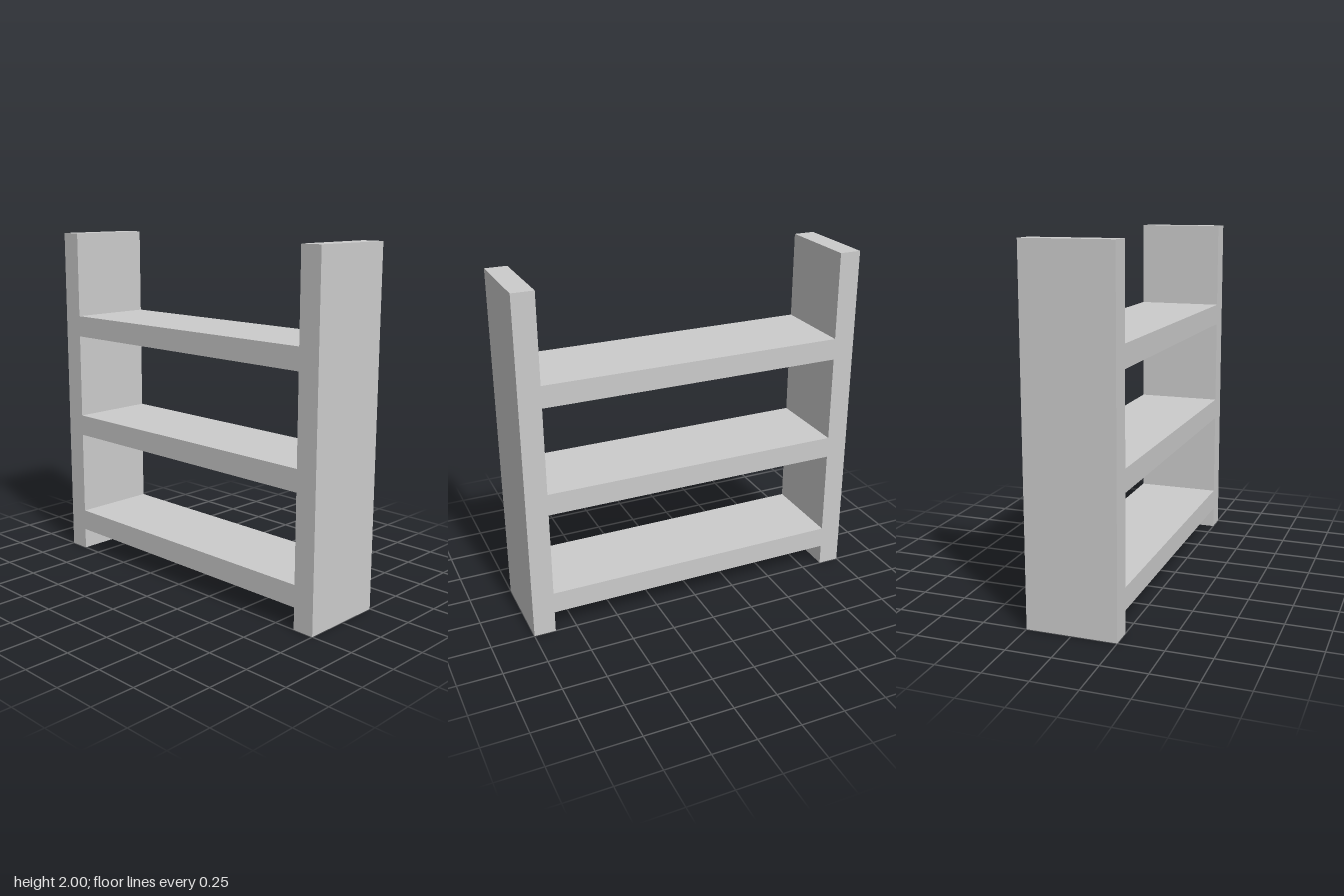
import * as THREE from 'three';

const THICKNESS = 0.125;
const DEPTH = 0.5;
const HEIGHT = 2;
const WIDTH = 2;

export function createModel() {
  const group = new THREE.Group();
  group.name = 'shelfUnit';
  const material = new THREE.MeshStandardMaterial({ color: 0xcccccc });

  const addBoard = (name, width, height, x, y) => {
    const board = new THREE.Mesh(new THREE.BoxGeometry(width, height, DEPTH), material);
    board.name = name;
    board.position.set(x, y, 0);
    group.add(board);
  };

  // Upright side panels
  for (const [name, side] of [['leftPanel', 1], ['rightPanel', -1]]) {
    addBoard(name, THICKNESS, HEIGHT, side * (WIDTH - THICKNESS) / 2, HEIGHT / 2);
  }

  // Shelves fitted between the panels, placed by their undersides
  const shelves = [['bottomShelf', 0.125], ['middleShelf', 0.75], ['topShelf', 1.375]];
  for (const [name, underside] of shelves) {
    addBoard(name, WIDTH - 2 * THICKNESS, THICKNESS, 0, underside + THICKNESS / 2);
  }

  return group;
}
